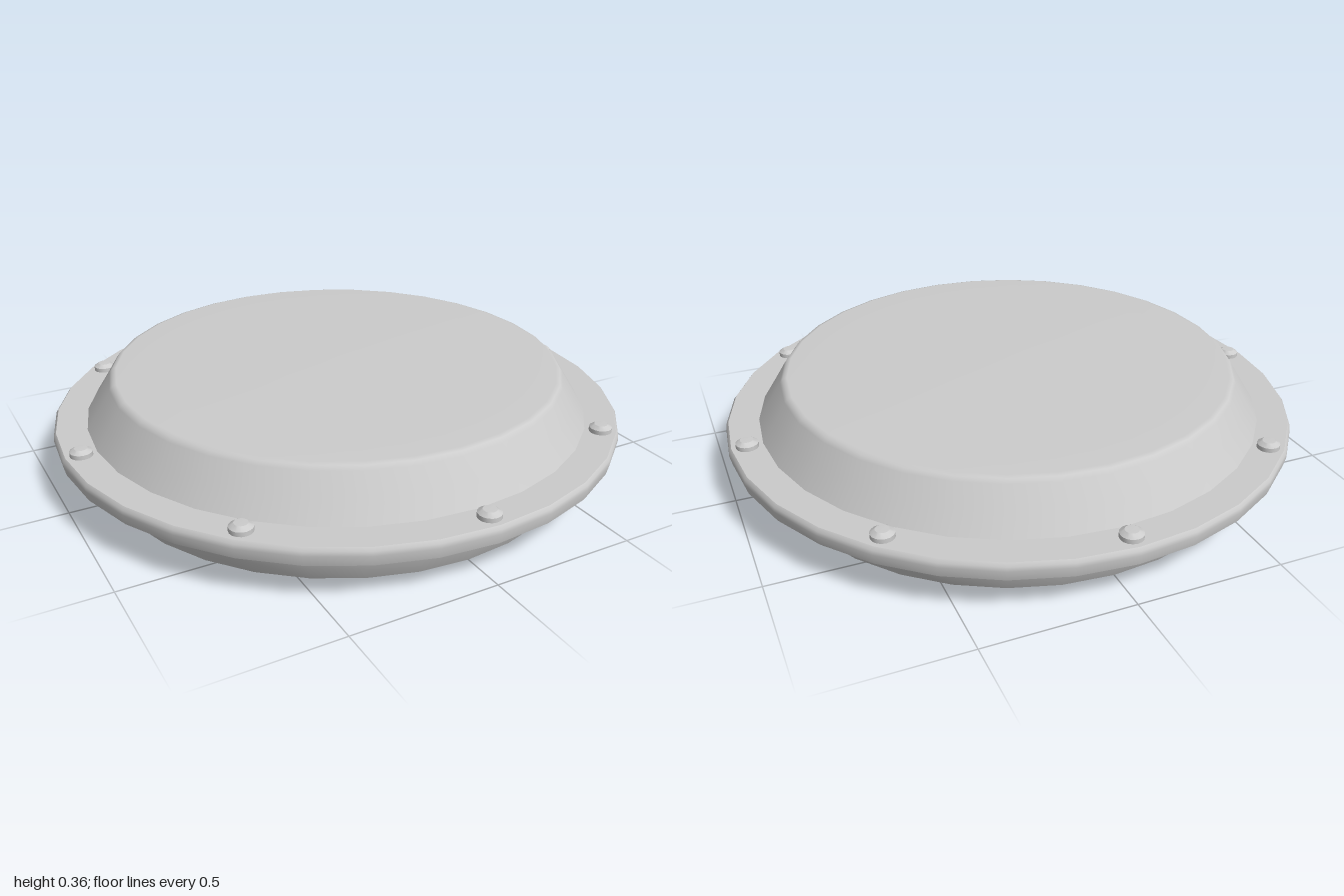
import * as THREE from 'three';
import { toCreasedNormals } from 'three/addons/utils/BufferGeometryUtils.js';

const SIDES = 32;

function lathe(profile, segments = SIDES) {
  return new THREE.LatheGeometry(profile.map(([r, y]) => new THREE.Vector2(r, y)), segments);
}

export function createModel() {
  const model = new THREE.Group();
  const solid = new THREE.MeshStandardMaterial({ color: 0xcccccc });
  const thin = new THREE.MeshStandardMaterial({ color: 0xcccccc, side: THREE.DoubleSide });

  function add(name, geometry, material) {
    const mesh = new THREE.Mesh(geometry, material);
    mesh.name = name;
    model.add(mesh);
    return mesh;
  }

  // Lower shell: open at the bottom, flaring up to the flange
  add('lowerShell', lathe([[0.85, 0], [0.875, 0.05], [0.89, 0.1], [0.895, 0.14]]), thin);

  // Upper shell: sloping wall, rounded shoulder and almost flat lid
  add('upperShell', lathe([
    [0.885, 0.2], [0.84, 0.27], [0.8, 0.335], [0.79, 0.348], [0.775, 0.353],
    [0.63, 0.355], [0.23, 0.359], [0, 0.36],
  ]), thin);

  // Flange: closed ring with slightly bevelled rim
  const ring = lathe([
    [0.885, 0.14], [0.992, 0.14], [1, 0.175], [0.998, 0.19], [0.99, 0.2],
    [0.885, 0.2], [0.885, 0.14],
  ]);
  add('flange', toCreasedNormals(ring, 0.6), thin);

  // Eight bolts with chamfered heads around the flange
  const head = toCreasedNormals(
    lathe([[0.038, 0.195], [0.038, 0.215], [0.022, 0.226], [0, 0.227]], 16), 0.5);
  for (let i = 0; i < 8; i++) {
    const a = (i * Math.PI) / 4;
    add('bolt', head, solid).position.set(0.937 * Math.sin(a), 0, 0.937 * Math.cos(a));
  }

  return model;
}
